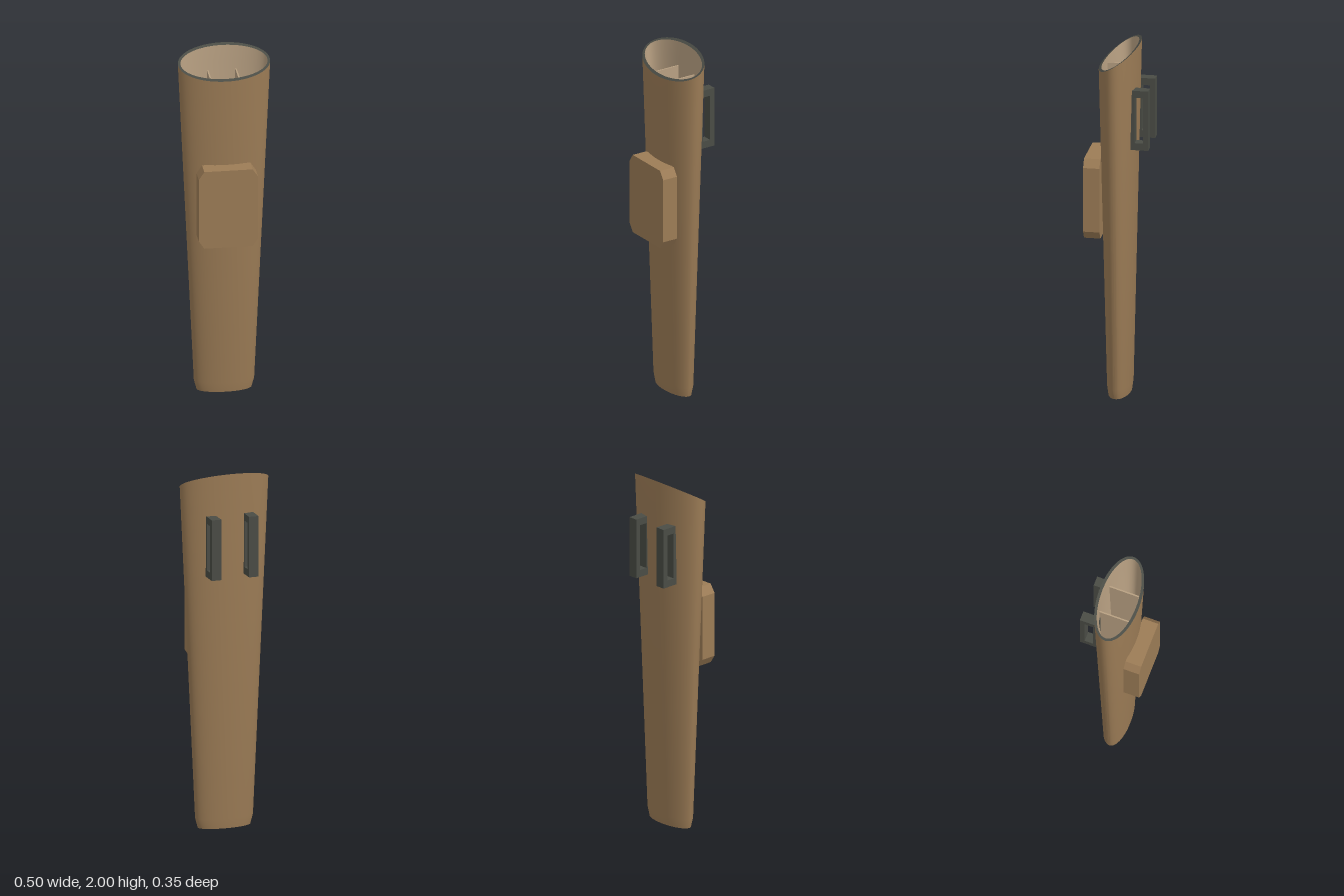
import * as THREE from 'three';
import { toCreasedNormals } from 'three/addons/utils/BufferGeometryUtils.js';

const SEGMENTS = 48;
const SLANT = 0.614; // the mouth drops towards the front

// Skin through elliptical rings [halfWidth, halfDepth, height, slant]
function ellipseSkin(rings) {
  const pos = [], index = [], n = SEGMENTS + 1;
  for (const [a, b, h, slant = 0] of rings) {
    for (let i = 0; i < n; i++) {
      const t = (i / SEGMENTS) * Math.PI * 2;
      const z = b * Math.sin(t);
      pos.push(a * Math.cos(t), h - slant * z, z);
    }
  }
  for (let r = 0; r < rings.length - 1; r++) {
    for (let i = 0; i < SEGMENTS; i++) {
      const p = r * n + i;
      if (rings[r + 1][0] > 0) index.push(p, p + n, p + n + 1);
      if (rings[r][0] > 0) index.push(p, p + n + 1, p + 1);
    }
  }
  const g = new THREE.BufferGeometry();
  g.setAttribute('position', new THREE.Float32BufferAttribute(pos, 3));
  g.setIndex(index);
  return toCreasedNormals(g, 0.5);
}

function polygon(points, Type = THREE.Shape) {
  return new Type(points.map(([x, y]) => new THREE.Vector2(x, y)));
}

// Extrude a side profile (-z, y) across x, centred on x = 0
function sidePlate(shape, width) {
  return new THREE.ExtrudeGeometry(shape, { depth: width, bevelEnabled: false })
    .translate(0, 0, -width / 2)
    .rotateY(Math.PI / 2);
}

const rectangle = (x0, x1, y0, y1) => [[x0, y0], [x1, y0], [x1, y1], [x0, y1]];

export function createModel() {
  const leather = new THREE.MeshStandardMaterial({ color: 0x9c7c56 });
  leather.name = 'tan leather';
  const lining = new THREE.MeshStandardMaterial({ color: 0xb8a082 });
  lining.name = 'pale lining';
  const trim = new THREE.MeshStandardMaterial({ color: 0x4a4c45 });
  trim.name = 'dark trim';

  const group = new THREE.Group();
  const add = (name, geometry, material, x = 0) => {
    const mesh = new THREE.Mesh(geometry, material);
    mesh.name = name;
    mesh.position.x = x;
    group.add(mesh);
  };

  // Tapered tube with a chamfered foot
  add('body', ellipseSkin([
    [0.15, 0.06, 0],
    [0.165, 0.067, 0.055],
    [0.252, 0.11, 1.9325, SLANT],
  ]), leather);
  add('base', ellipseSkin([[0, 0, 0], [0.15, 0.06, 0]]), trim);

  // Slanted mouth edge
  add('rim', ellipseSkin([
    [0.252, 0.11, 1.9325, SLANT],
    [0.238, 0.095, 1.9325, SLANT],
  ]), trim);

  // Inside wall and floor
  add('lining', ellipseSkin([
    [0.238, 0.095, 1.9325, SLANT],
    [0.232, 0.09, 1.84, SLANT],
    [0.152, 0.056, 0.075],
    [0.14, 0.048, 0.04],
    [0, 0, 0.04],
  ]), lining);

  // Front pouch with clipped corners
  const w = 0.162, cx = 0.03, y0 = 0.91, y1 = 1.365, cy = 0.045;
  const pouch = polygon([
    [-w + cx, y0], [w - cx, y0], [w, y0 + cy], [w, y1 - cy],
    [w - cx, y1], [-w + cx, y1], [-w, y1 - cy], [-w, y0 + cy],
  ]);
  add('pouch', new THREE.ExtrudeGeometry(pouch, { depth: 0.09, bevelEnabled: false })
    .translate(0, 0, 0.086), leather);

  // Paired inner dividers and back strap loops
  const divider = polygon([[-0.042, 0.04], [0.042, 0.04], [0.084, 1.85], [-0.084, 1.85]]);
  const loop = polygon(rectangle(0.077, 0.177, 1.43, 1.77));
  loop.holes.push(polygon(rectangle(0.102, 0.149, 1.47, 1.73), THREE.Path));
  for (const [side, s] of [['left', 1], ['right', -1]]) {
    add(`${side}Divider`, sidePlate(divider, 0.008), lining, s * 0.077);
    add(`${side}StrapLoop`, sidePlate(loop, 0.054), trim, s * 0.107);
  }
  return group;
}
